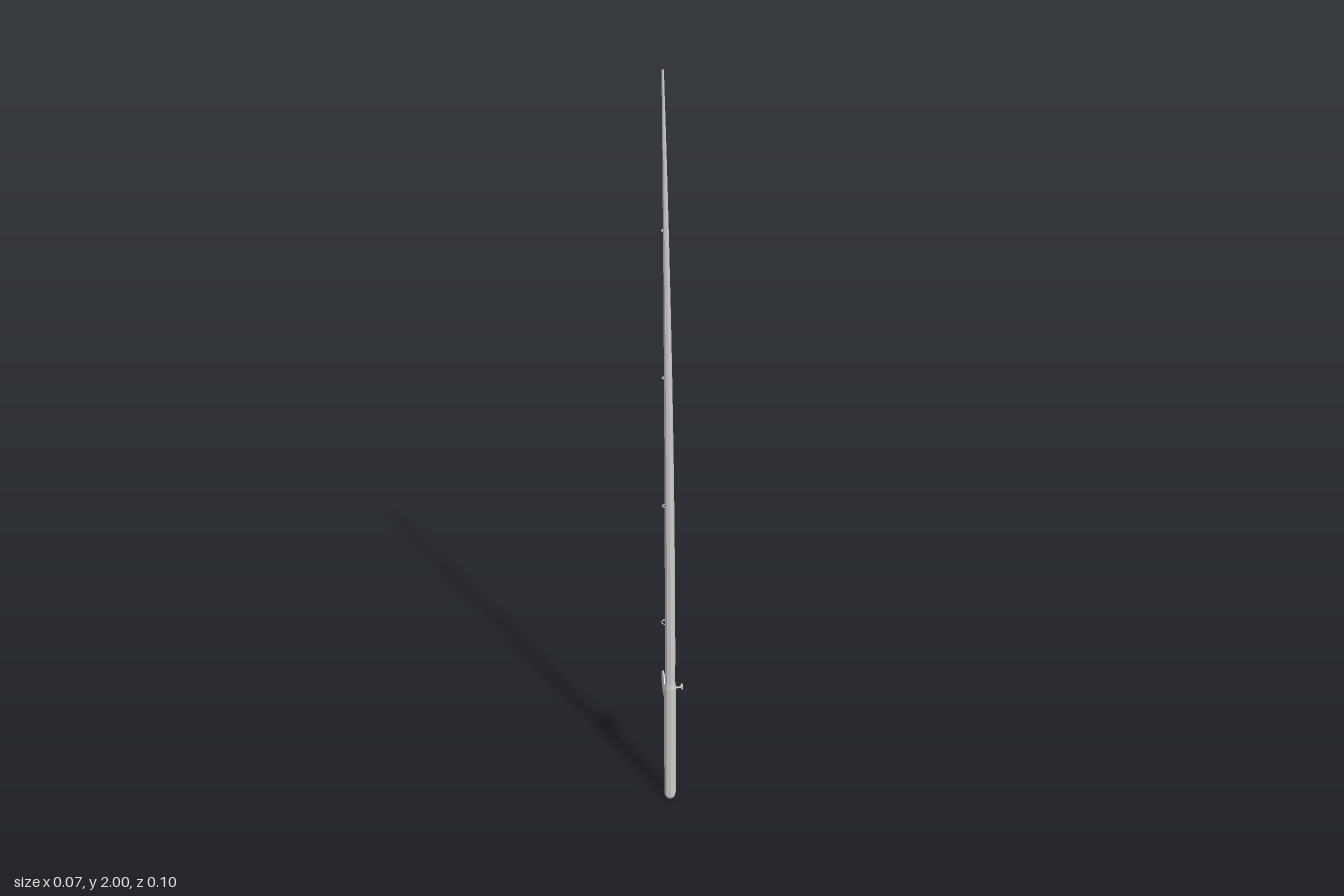
import * as THREE from 'three';

const material = new THREE.MeshStandardMaterial({ color: 0xcccccc, flatShading: true });
const ROD_X = -0.017, ROD_Z = 0.034, GRIP_TOP = 0.4;

// Centre line and radius of the bent, tapering blank at height y
const along = (y) => Math.max(0, Math.min(1, (y - GRIP_TOP) / (2 - GRIP_TOP)));
const rodZ = (y) => ROD_Z - 0.029 * along(y) ** 2;
const rodRadius = (y) => 0.011 * (1 - along(y) ** 1.8) + 0.0025;

function add(parent, name, geometry, x = 0, y = 0, z = 0) {
  const mesh = new THREE.Mesh(geometry, material);
  mesh.name = name;
  mesh.position.set(x, y, z);
  parent.add(mesh);
  return mesh;
}

// Cylinder whose axis runs along x, with a flat side on top
const discX = (r, length, sides = 8) =>
  new THREE.CylinderGeometry(r, r, length, sides).rotateY(Math.PI / sides).rotateZ(Math.PI / 2);

export function createModel() {
  const model = new THREE.Group();
  model.name = 'fishingRod';

  // Grip with bevelled butt and shoulder
  const profile = [[0, 0], [0.0125, 0], [0.016, 0.01], [0.016, 0.385], [0.013, 0.405], [0, 0.405]]
    .map(([r, y]) => new THREE.Vector2(r, y));
  add(model, 'grip', new THREE.LatheGeometry(profile, 8, Math.PI / 8), ROD_X, 0, ROD_Z);

  // Blank: a unit cylinder bent and tapered along its height
  const blank = new THREE.CylinderGeometry(1, 1, 2 - GRIP_TOP, 8, 12);
  blank.rotateY(Math.PI / 8).translate(0, (2 + GRIP_TOP) / 2, 0);
  const p = blank.attributes.position;
  for (let i = 0; i < p.count; i++) {
    const y = p.getY(i), r = rodRadius(y);
    p.setXYZ(i, ROD_X + p.getX(i) * r, y, rodZ(y) + p.getZ(i) * r);
  }
  blank.computeVertexNormals();
  add(model, 'blank', blank);

  // Line guides, shrinking towards the tip
  [[0.585, 0.0095], [0.94, 0.007], [1.29, 0.0055], [1.65, 0.004]].forEach(([y, r], i) => {
    const ring = new THREE.TorusGeometry(r, 0.0016, 4, 8).rotateX(Math.PI / 2);
    add(model, `lineGuide${i + 1}`, ring, ROD_X, y, rodZ(y) - rodRadius(y) - r);
  });

  // Reel, turned to one side of the grip
  const reel = new THREE.Group();
  reel.name = 'reel';
  reel.position.set(ROD_X, 0.355, ROD_Z);
  reel.rotation.y = -0.44;
  model.add(reel);
  const spoolZ = -0.053;
  add(reel, 'reelFoot', new THREE.BoxGeometry(0.008, 0.03, 0.008), 0, 0, -0.016);
  add(reel, 'reelStem', new THREE.BoxGeometry(0.008, 0.012, 0.02), 0, 0, -0.026);
  for (const side of [-1, 1]) {
    add(reel, side < 0 ? 'rightFlange' : 'leftFlange', discX(0.0355, 0.004), side * 0.01, 0, spoolZ);
  }
  add(reel, 'spool', discX(0.026, 0.018), 0, 0, spoolZ);

  // Handle and knob on the left flange
  add(reel, 'handle', discX(0.0025, 0.027, 6), 0.0225, 0, -0.033);
  add(reel, 'handleKnob', new THREE.BoxGeometry(0.005, 0.009, 0.012), 0.036, 0, -0.035);

  return model;
}
